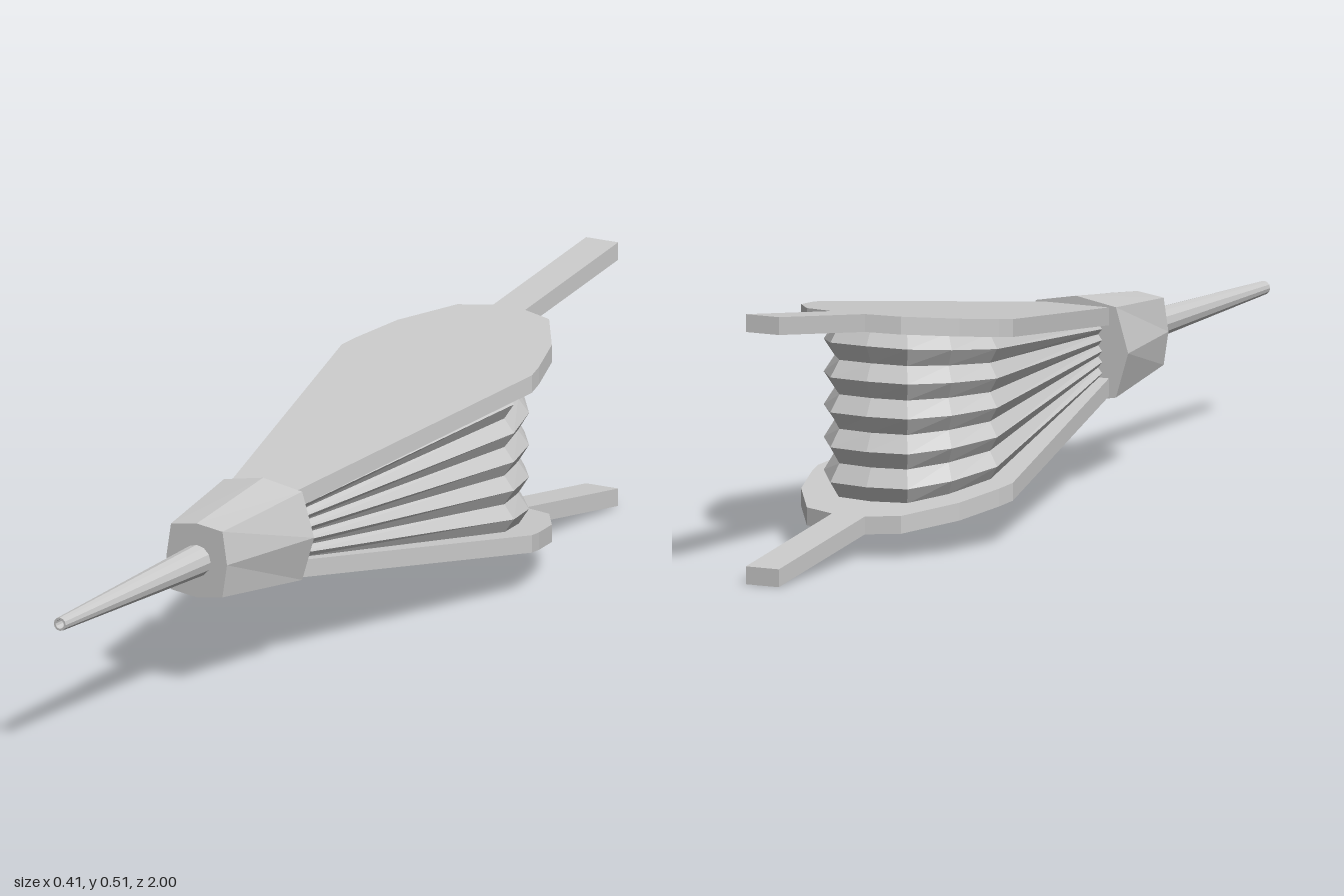
import * as THREE from 'three';

const MID = 0.257; // height of the axis
const BOARD = 0.034; // board thickness
// Outer half height of the boards: they spread apart towards the back
const spread = (z) => MID - (1 + z) * 0.138;

const material = new THREE.MeshStandardMaterial({
  color: 0xcccccc, flatShading: true, side: THREE.DoubleSide,
});

function part(name, geometry) {
  const mesh = new THREE.Mesh(geometry, material);
  mesh.name = name;
  return mesh;
}

// Skin a list of rings, each with the same number of [x, y, z] points
function loft(rings, closed) {
  const n = rings[0].length;
  const index = [];
  for (let j = 0; j < rings.length - 1; j++) {
    for (let i = 0; i < (closed ? n : n - 1); i++) {
      const k = (i + 1) % n;
      const a = j * n + i, b = j * n + k, c = a + n, d = b + n;
      index.push(a, b, d, a, d, c);
    }
  }
  let g = new THREE.BufferGeometry();
  g.setAttribute('position', new THREE.Float32BufferAttribute(rings.flat(2), 3));
  g.setIndex(index);
  g = g.toNonIndexed();
  g.computeVertexNormals();
  return g;
}

// Pear-shaped board with a handle, sheared to follow the spread
function boardGeometry() {
  const half = [
    [0.066, 0.27], [0.207, -0.39], [0.199, -0.43], [0.168, -0.53],
    [0.1, -0.635], [0.035, -0.657], [0.035, -1],
  ];
  const outline = [...half, ...half.map(([x, z]) => [-x, z]).reverse()];
  const shape = new THREE.Shape(outline.map(([x, z]) => new THREE.Vector2(x, -z)));
  const g = new THREE.ExtrudeGeometry(shape, { depth: BOARD, bevelEnabled: false });
  g.rotateX(-Math.PI / 2);
  const p = g.attributes.position;
  for (let i = 0; i < p.count; i++) {
    p.setY(i, p.getY(i) - BOARD + spread(p.getZ(i)));
  }
  g.computeVertexNormals();
  return g;
}

// Pleated skin: alternating valley and peak outlines between the boards
function bellowsGeometry() {
  const peak = [[0.052, 0.27], [0.171, -0.385], [0.136, -0.5], [0.082, -0.575]];
  const valley = [[0.044, 0.27], [0.153, -0.38], [0.121, -0.485], [0.072, -0.558]];
  const folds = 5;
  const rings = [];
  for (let j = 0; j <= folds * 2; j++) {
    const half = j % 2 ? peak : valley;
    const back = j % 2 ? -0.585 : -0.567;
    const outline = [...half, [0, back], ...half.map(([x, z]) => [-x, z]).reverse()];
    const t = j / folds - 1;
    rings.push(outline.map(([x, z]) => [x, MID + t * (spread(z) - BOARD + 0.002), z]));
  }
  return loft(rings, false);
}

// Tapered eight-sided block, closed at both ends
function blockGeometry() {
  const ring = (side, cx, cy, top, z) => [
    [side, 0], [cx, cy], [0, top], [-cx, cy], [-side, 0], [-cx, -cy], [0, -top], [cx, -cy],
  ].map(([x, y]) => [x, MID + y, z]);
  return loft([
    ring(0, 0, 0, 0, 0.25),
    ring(0.111, 0.085, 0.086, 0.101, 0.25),
    ring(0.066, 0.056, 0.064, 0.072, 0.495),
    ring(0, 0, 0, 0, 0.495),
  ], true);
}

// Slim tapered tube with a bored tip
function nozzleGeometry() {
  const profile = [[0.031, 0.48], [0.013, 1], [0.009, 1], [0.008, 0.9], [0, 0.9]];
  const g = new THREE.LatheGeometry(profile.map(([r, y]) => new THREE.Vector2(r, y)), 12);
  g.rotateX(Math.PI / 2);
  g.translate(0, MID, 0);
  return g;
}

export function createModel() {
  const model = new THREE.Group();
  model.name = 'bellows';

  // Two identical boards, the lower one turned over
  for (const [name, turn] of [['upperBoard', 0], ['lowerBoard', Math.PI]]) {
    const board = part(name, boardGeometry());
    board.position.y = MID;
    board.rotation.z = turn;
    model.add(board);
  }

  model.add(
    part('pleatedSkin', bellowsGeometry()),
    part('nozzleBlock', blockGeometry()),
    part('nozzle', nozzleGeometry()),
  );
  return model;
}
